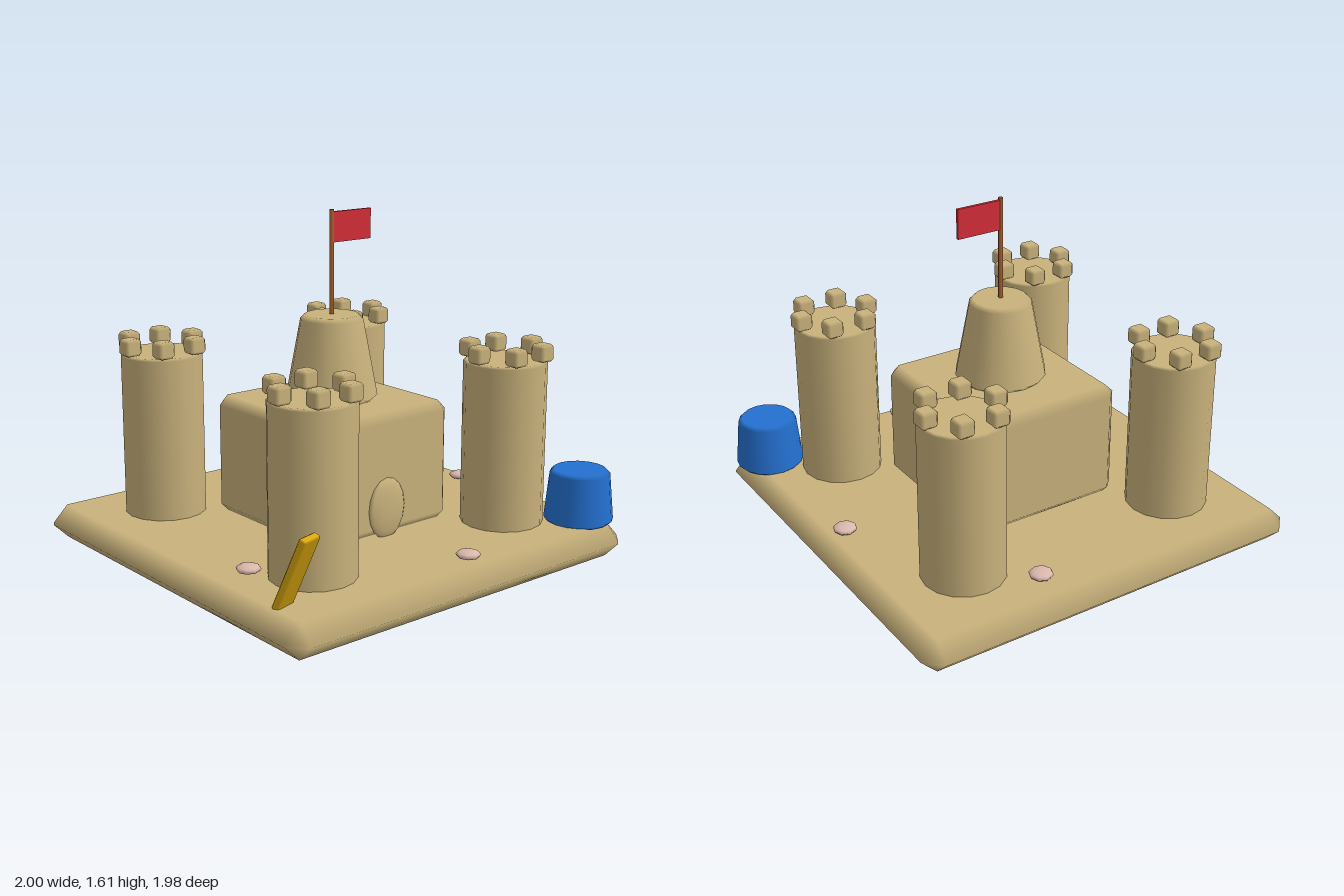
import * as THREE from 'three';
import { ConvexGeometry } from 'three/addons/geometries/ConvexGeometry.js';

const material = (name, color) => {
  const m = new THREE.MeshStandardMaterial({ color });
  m.name = name;
  return m;
};

// Box with single-step bevels, shaded smoothly from face to face
function bevelBox(w, h, d, b) {
  const half = [w / 2, h / 2, d / 2];
  const points = [];
  for (let axis = 0; axis < 3; axis++)
    for (const sx of [-1, 1]) for (const sy of [-1, 1]) for (const sz of [-1, 1]) {
      const p = [sx, sy, sz].map((s, i) => s * (half[i] - (i === axis ? 0 : b)));
      points.push(new THREE.Vector3(...p));
    }
  const geo = new ConvexGeometry(points);
  const pos = geo.attributes.position, nor = geo.attributes.normal;
  for (let i = 0; i < pos.count; i++) {
    const p = [pos.getX(i), pos.getY(i), pos.getZ(i)];
    const n = p.map((v, k) => (Math.abs(Math.abs(v) - half[k]) < 1e-5 ? Math.sign(v) : 0));
    nor.setXYZ(i, ...n);
  }
  return geo;
}

// Round block with bevelled rims: flat caps, smooth sides
function roundBlock(rBottom, rTop, y0, y1, b, sides = 16) {
  const profile = [
    [0, y0], [rBottom - b, y0], [rBottom, y0 + b],
    [rTop, y1 - b], [rTop - b, y1], [0, y1],
  ].map(([r, y]) => new THREE.Vector2(r, y));
  const geo = new THREE.LatheGeometry(profile, sides);
  const nor = geo.attributes.normal;
  const slope = new THREE.Vector2(y1 - y0 - 2 * b, rBottom - rTop).normalize();
  for (let i = 0; i < nor.count; i++) {
    const ring = i % 6, a = Math.floor(i / 6) / sides * Math.PI * 2;
    if (ring < 2) nor.setXYZ(i, 0, -1, 0);
    else if (ring > 3) nor.setXYZ(i, 0, 1, 0);
    else nor.setXYZ(i, slope.x * Math.sin(a), slope.y, slope.x * Math.cos(a));
  }
  return geo;
}

export function createModel() {
  const sand = material('sand', 0xc9b27c);
  const blue = material('bucketBlue', 0x2470d0);
  const yellow = material('spadeYellow', 0xd8a60e);
  const red = material('flagRed', 0xd42d38);
  const wood = material('wood', 0xa8622f);
  const pink = material('shellPink', 0xdcb8ac);

  const model = new THREE.Group();
  model.name = 'sandcastle';
  const add = (name, geo, mat, x = 0, y = 0, z = 0, parent = model) => {
    const mesh = new THREE.Mesh(geo, mat);
    mesh.name = name;
    mesh.position.set(x, y, z);
    parent.add(mesh);
    return mesh;
  };

  const cx = -0.0125; // the castle sits slightly off centre
  const ground = 0.165;

  // Base slab, central keep and the tapered turret on it
  add('base', bevelBox(1.975, ground, 1.975, 0.077), sand, cx, ground / 2, 0);
  add('keep', bevelBox(0.786, 0.575, 0.786, 0.045), sand, cx, 0.4475, 0);
  add('turret', roundBlock(0.213, 0.146, 0.735, 1.13, 0.02), sand, cx);

  // Rounded door bulging from the front wall
  const door = add('door', new THREE.SphereGeometry(1, 12, 8), sand, cx, 0.294, 0.393);
  door.scale.set(0.107, 0.145, 0.025);

  // Four corner towers, each with six battlement blocks
  const towerGeo = roundBlock(0.193, 0.193, 0.155, 0.937, 0.01);
  const blockGeo = bevelBox(0.083, 0.08, 0.083, 0.014);
  for (const sx of [-1, 1]) for (const sz of [-1, 1]) {
    const tower = new THREE.Group();
    tower.name = (sz > 0 ? 'front' : 'back') + (sx > 0 ? 'Left' : 'Right') + 'Tower';
    tower.position.set(cx + sx * 0.565, 0, sz * 0.565);
    model.add(tower);
    add('towerWall', towerGeo, sand, 0, 0, 0, tower);
    for (let i = 0; i < 6; i++) {
      const a = i * Math.PI / 3;
      add('battlement', blockGeo, sand, 0.17 * Math.cos(a), 0.979, 0.17 * Math.sin(a), tower);
    }
  }

  // Flag on its pole
  add('flagPole', new THREE.CylinderGeometry(0.011, 0.011, 0.5, 8), wood, cx, 1.36, 0);
  add('flag', new THREE.BoxGeometry(0.224, 0.14, 0.015), red, 0.102, 1.53, 0);

  // Upturned bucket on the front corner
  add('bucket', roundBlock(0.162, 0.14, 0.157, 0.41, 0.017), blue, 0.836, 0, 0.792);

  // Spade blade stuck in the sand, leaning forward
  const spade = add('spade', bevelBox(0.105, 0.36, 0.037, 0.008), yellow, -0.857, 0.319, 0.807);
  spade.rotation.set(0.42, 0.25, 0, 'YXZ');

  // Shells scattered round the castle
  const shellGeo = new THREE.SphereGeometry(0.056, 8, 6);
  for (const [x, z] of [[0.295, -0.788], [0.835, 0], [0.062, 0.845], [-0.775, 0.375]])
    add('shell', shellGeo, pink, x, 0.187, z).scale.y = 0.36;

  return model;
}
